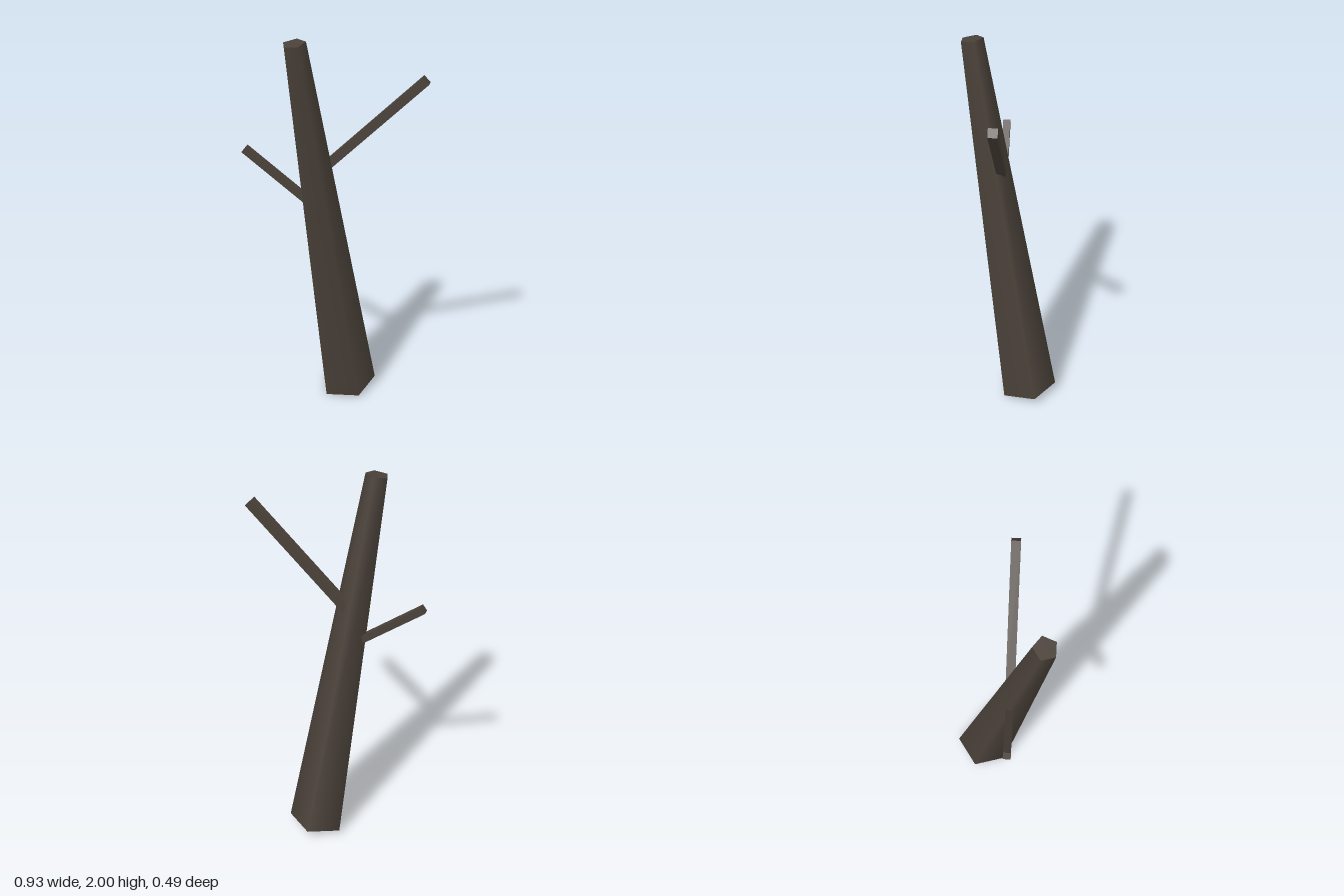
import * as THREE from 'three';

const bark = new THREE.MeshStandardMaterial({ color: 0x4a4139 });
bark.name = 'bark';

// Square branch whose length runs between two points [x, y] at depth z
function makeBranch(name, from, to, z, width) {
  const a = new THREE.Vector3(from[0], from[1], z);
  const b = new THREE.Vector3(to[0], to[1], z);
  const mesh = new THREE.Mesh(new THREE.BoxGeometry(width, a.distanceTo(b), width), bark);
  mesh.name = name;
  mesh.position.copy(a).add(b).multiplyScalar(0.5);
  mesh.rotation.z = Math.atan2(a.x - b.x, b.y - a.y);
  return mesh;
}

export function createModel() {
  const tree = new THREE.Group();
  tree.name = 'deadTree';

  // Leaning, tapered five-sided trunk with smooth sides
  const trunk = new THREE.Mesh(
    new THREE.CylinderGeometry(0.058, 0.153, 1.995, 5, 1, false, Math.PI), bark);
  trunk.name = 'trunk';
  trunk.position.set(-0.055, 1.01, 0.049);
  trunk.rotation.set(0.148, 0, 0.1);
  tree.add(trunk);

  // Two bare branches, rooted inside the trunk
  tree.add(makeBranch('leftBranch', [-0.08, 1.302], [0.448, 1.815], 0.049, 0.045));
  tree.add(makeBranch('rightBranch', [-0.1, 1.127], [-0.456, 1.402], 0.049, 0.037));

  return tree;
}
